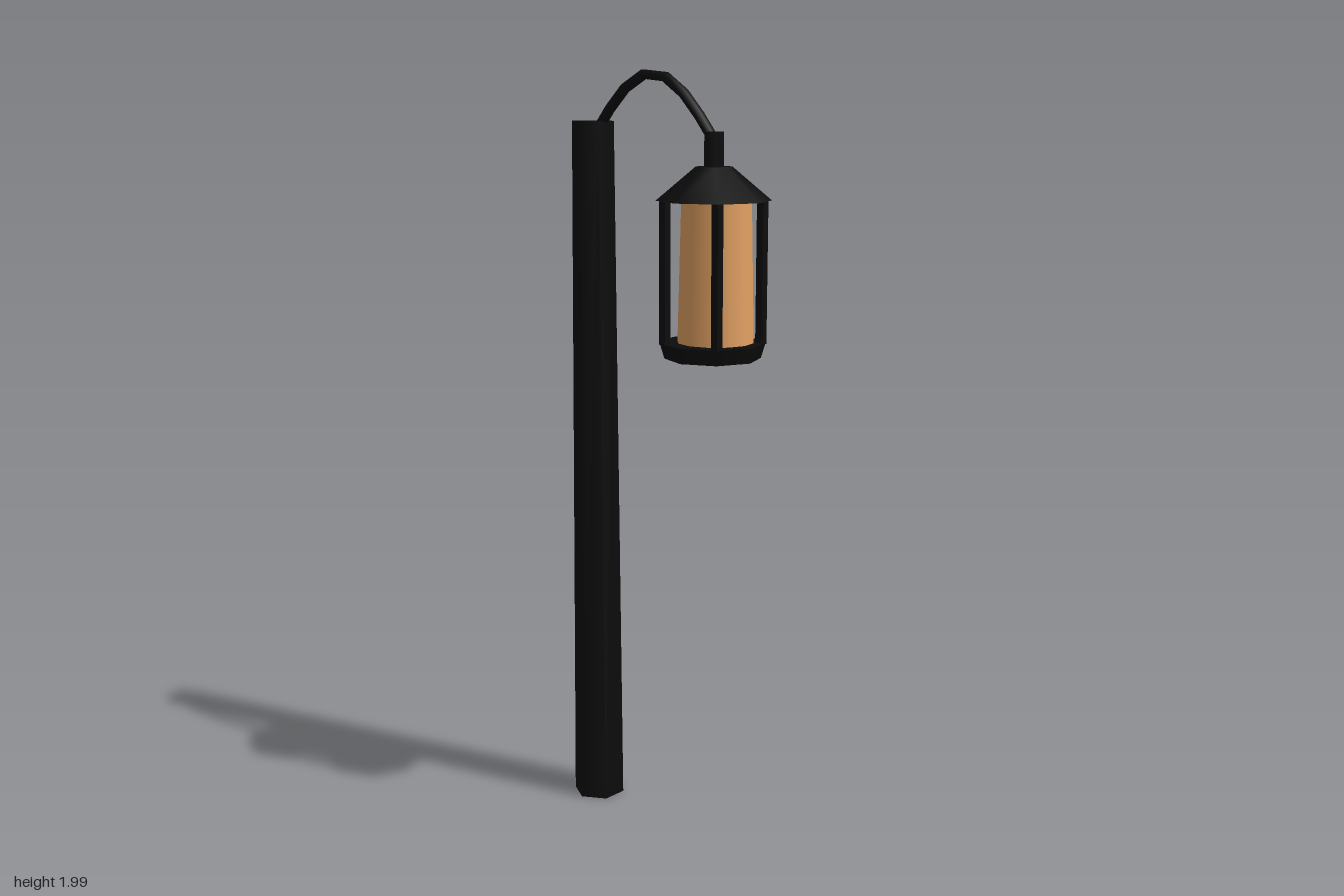
import * as THREE from 'three';

export function createModel() {
  const iron = new THREE.MeshStandardMaterial({ color: 0x0c0c0c });
  iron.name = 'black iron';
  const amber = new THREE.MeshStandardMaterial({ color: 0xe2a163 });
  amber.name = 'amber glass';

  const model = new THREE.Group();
  model.name = 'streetLamp';

  const add = (parent, name, geometry, material, x, y, z) => {
    const mesh = new THREE.Mesh(geometry, material);
    mesh.name = name;
    mesh.position.set(x, y, z);
    parent.add(mesh);
    return mesh;
  };
  // Tapered prism standing between two heights
  const prism = (parent, name, rTop, rBottom, y0, y1, sides, material = iron, z = 0) =>
    add(parent, name, new THREE.CylinderGeometry(rTop, rBottom, y1 - y0, sides), material, 0, (y0 + y1) / 2, z);

  // Hexagonal post
  const post = prism(model, 'post', 0.056, 0.07, 0, 1.865, 6);
  post.position.x = -0.25;

  // Arched arm from the post top to the lantern neck
  const path = new THREE.CurvePath();
  const points = [
    [-0.235, 1.84], [-0.167, 1.918], [-0.105, 1.967], [-0.045, 1.985],
    [0.024, 1.966], [0.093, 1.908], [0.163, 1.825],
  ].map(([x, y]) => new THREE.Vector3(x, y, 0));
  const curve = new THREE.CatmullRomCurve3(points);
  add(model, 'arm', new THREE.TubeGeometry(curve, 7, 0.0135, 6), iron, 0, 0, 0);

  // Lantern
  const lantern = new THREE.Group();
  lantern.name = 'lantern';
  lantern.position.x = 0.164;
  model.add(lantern);

  prism(lantern, 'neck', 0.024, 0.025, 1.75, 1.845, 8);
  prism(lantern, 'roof', 0.045, 0.143, 1.68, 1.762, 8);
  prism(lantern, 'basePlate', 0.133, 0.121, 1.29, 1.33, 8);
  prism(lantern, 'glass', 0.088, 0.097, 1.325, 1.685, 12, amber, -0.01);

  // Four corner bars
  for (const sx of [-1, 1]) {
    for (const sz of [-1, 1]) {
      add(lantern, 'cornerBar', new THREE.BoxGeometry(0.02, 0.36, 0.02), iron, sx * 0.085, 1.505, sz * 0.085);
    }
  }
  return model;
}
